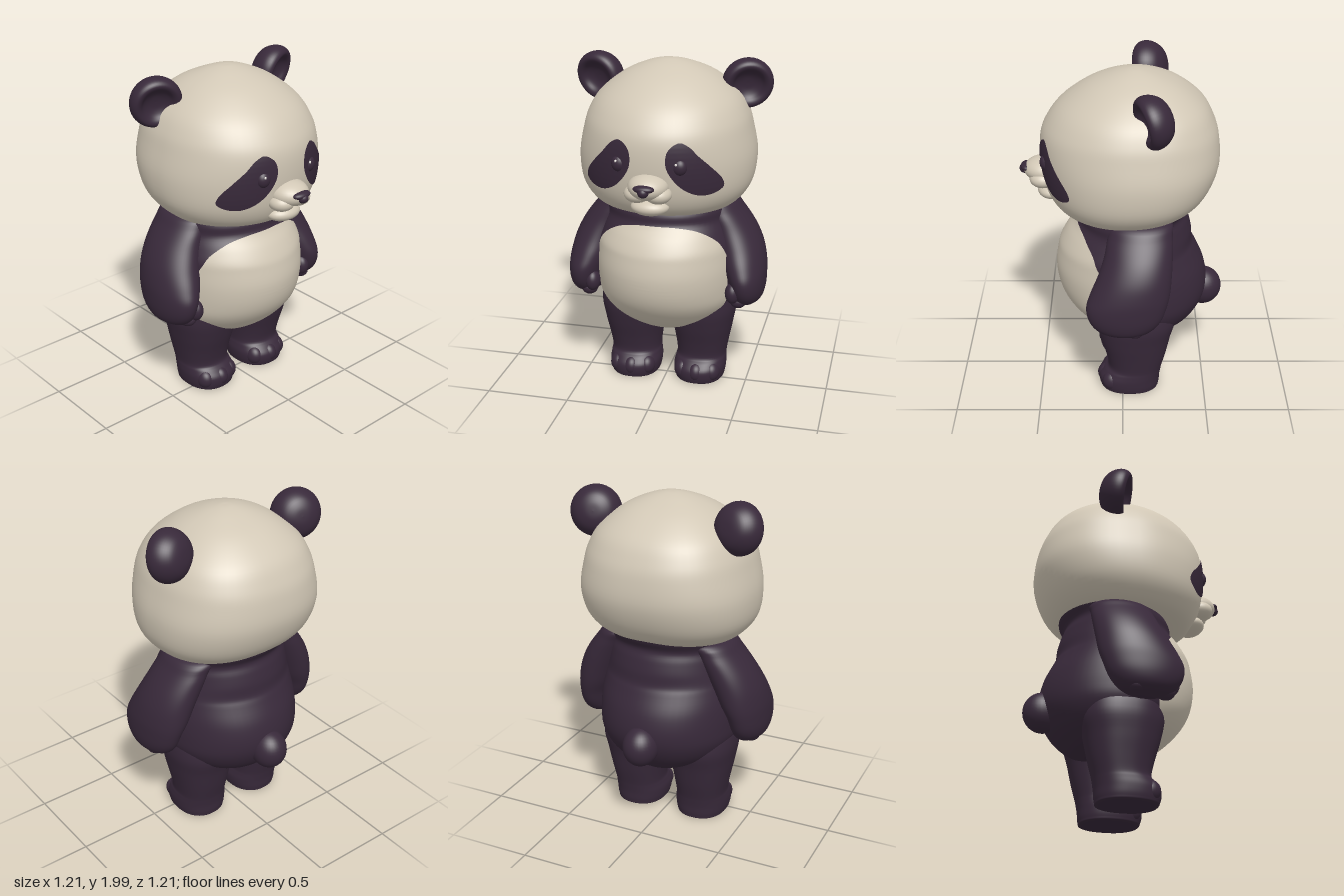
import * as THREE from 'three';
import { mergeVertices } from 'three/addons/utils/BufferGeometryUtils.js';

const cream = new THREE.MeshStandardMaterial({ name: 'cream fur', color: 0xd2c8b6 });
const dark = new THREE.MeshStandardMaterial({ name: 'dark fur', color: 0x38293a });
const white = new THREE.MeshStandardMaterial({ name: 'eye highlight', color: 0xf4f0ea });

// Rows are [y, centre x, half width, front z, back z], from bottom to top.
const headRows = [
  [1.155, 0, 0, 0, 0], [1.152, 0, 0.2, 0.2, -0.16], [1.158, 0, 0.35, 0.31, -0.3], [1.2, 0, 0.435, 0.395, -0.41],
  [1.3, 0, 0.502, 0.45, -0.5], [1.45, 0, 0.519, 0.475, -0.555], [1.6, 0, 0.492, 0.473, -0.55],
  [1.7, 0, 0.462, 0.435, -0.52], [1.8, 0, 0.4, 0.355, -0.46], [1.9, 0, 0.275, 0.215, -0.335],
  [1.96, 0, 0.145, 0.075, -0.2], [1.985, 0, 0.05, -0.02, -0.11], [1.988, 0, 0, -0.06, -0.06],
];
const torsoRows = [
  [0.33, 0, 0, -0.14, -0.14], [0.335, 0, 0.1, 0.03, -0.26], [0.37, 0, 0.22, 0.13, -0.34], [0.45, 0, 0.345, 0.24, -0.43],
  [0.55, 0, 0.41, 0.33, -0.49], [0.65, 0, 0.424, 0.378, -0.51], [0.77, 0, 0.425, 0.395, -0.49],
  [0.88, 0, 0.415, 0.38, -0.44], [0.93, 0, 0.41, 0.365, -0.415], [1, 0, 0.39, 0.325, -0.408],
  [1.07, 0, 0.375, 0.27, -0.39], [1.13, 0, 0.375, 0.26, -0.37], [1.19, 0, 0.378, 0.22, -0.4],
  [1.215, 0, 0.36, 0.17, -0.38], [1.22, 0, 0, -0.1, -0.1],
];
const armRows = [
  [0.535, 0.48, 0, 0, 0], [0.545, 0.485, 0.05, 0.08, -0.1], [0.58, 0.492, 0.09, 0.15, -0.17], [0.64, 0.495, 0.107, 0.195, -0.22],
  [0.72, 0.487, 0.119, 0.21, -0.25], [0.8, 0.465, 0.135, 0.185, -0.27], [0.9, 0.432, 0.143, 0.14, -0.28],
  [1, 0.385, 0.14, 0.105, -0.285], [1.1, 0.325, 0.125, 0.085, -0.285], [1.17, 0.27, 0.115, 0.06, -0.27], [1.2, 0.24, 0, -0.1, -0.1],
];
const legRows = [
  [0.002, 0.205, 0, -0.04, -0.04], [0, 0.205, 0.13, 0.11, -0.2], [0.02, 0.205, 0.152, 0.138, -0.222], [0.08, 0.205, 0.16, 0.145, -0.228],
  [0.125, 0.208, 0.155, 0.115, -0.235], [0.16, 0.21, 0.152, 0.088, -0.242], [0.25, 0.213, 0.165, 0.105, -0.265],
  [0.37, 0.214, 0.187, 0.14, -0.29], [0.5, 0.21, 0.208, 0.165, -0.32], [0.62, 0.2, 0.18, 0.14, -0.28], [0.68, 0.2, 0, -0.08, -0.08],
];

// Catmull-Rom refinement of the rows
function refine(rows, steps = 5) {
  const out = [], at = (i) => rows[Math.min(Math.max(i, 0), rows.length - 1)];
  for (let i = 0; i < rows.length - 1; i++) {
    for (let k = 0; k < steps; k++) {
      const t = k / steps;
      out.push(rows[i].map((p1, c) => {
        const p0 = at(i - 1)[c], p2 = at(i + 1)[c], p3 = at(i + 2)[c];
        const v = p1 + 0.5 * t * (p2 - p0 + t * (2 * p0 - 5 * p1 + 4 * p2 - p3 + t * (3 * (p1 - p2) + p3 - p0)));
        return c === 2 ? Math.max(v, 0) : v;
      }));
    }
  }
  out.push(rows[rows.length - 1]);
  return out;
}

function surface(positions, index) {
  let g = new THREE.BufferGeometry();
  g.setAttribute('position', new THREE.Float32BufferAttribute(positions, 3));
  g.setIndex(index);
  g = mergeVertices(g, 1e-4);
  g.computeVertexNormals();
  return g;
}

// Closed skin over rounded cross-sections, with separate front and back roundness
function loft(rows, side = 1, nFront = 2, nBack = 2, seg = 64) {
  const pos = [], idx = [], fine = refine(rows);
  const bend = (v, n) => Math.sign(v) * Math.abs(v) ** (2 / n);
  fine.forEach(([y, cx, rx, zf, zb], i) => {
    for (let j = 0; j < seg; j++) {
      const t = (j / seg) * Math.PI * 2, n = Math.sin(t) > 0 ? nFront : nBack;
      pos.push(side * cx + rx * bend(Math.cos(t), n), y, (zf + zb) / 2 + ((zf - zb) / 2) * bend(Math.sin(t), n));
      if (i === fine.length - 1) continue;
      const a = i * seg + j, b = i * seg + ((j + 1) % seg);
      idx.push(a, a + seg, b, b, a + seg, b + seg);
    }
  });
  return surface(pos, idx);
}

// Thin colour patch following the front of a lofted skin; outline is counterclockwise
function patch(rows, outline, [cx, cy], offset = 0.006, seg = 96, rings = 24) {
  const fine = refine(rows);
  const frontZ = (x, y) => {
    let i = 2;
    while (i < fine.length - 2 && fine[i + 1][0] < y) i++;
    const p = fine[i], q = fine[i + 1];
    const t = THREE.MathUtils.clamp((y - p[0]) / (q[0] - p[0]), 0, 1);
    const [, , rx, zf, zb] = p.map((v, c) => v + (q[c] - v) * t);
    const u = Math.min(Math.abs(x) / (rx + offset), 1);
    return (zf + zb) / 2 + ((zf - zb) / 2 + offset) * Math.sqrt(1 - u * u);
  };
  const curve = new THREE.CatmullRomCurve3(outline.map(([x, y]) => new THREE.Vector3(x, y, 0)), true);
  const edge = curve.getSpacedPoints(seg).slice(0, seg), pos = [], idx = [];
  for (let k = 0; k <= rings; k++) {
    edge.forEach((p, j) => {
      const x = cx + ((p.x - cx) * k) / rings, y = cy + ((p.y - cy) * k) / rings;
      pos.push(x, y, frontZ(x, y));
      if (k === rings) return;
      const a = k * seg + j, b = k * seg + ((j + 1) % seg);
      idx.push(a, a + seg, b + seg, a, b + seg, b);
    });
  }
  return surface(pos, idx);
}

export function createModel() {
  const model = new THREE.Group();
  model.name = 'panda';
  const add = (name, geometry, material) => {
    const m = new THREE.Mesh(geometry, material);
    m.name = name;
    model.add(m);
    return m;
  };
  const blob = (name, material, [x, y, z], [rx, ry, rz]) => {
    const m = add(name, new THREE.SphereGeometry(1, 32, 20), material);
    m.position.set(x, y, z);
    m.scale.set(rx, ry, rz);
    return m;
  };

  // Head, torso and tail
  add('head', loft(headRows, 1, 2, 2.35), cream);
  add('torso', loft(torsoRows), dark);
  blob('tail', dark, [0, 0.58, -0.49], [0.105, 0.12, 0.115]);

  // Belly patch
  const half = [[0.1, 0.355], [0.2, 0.415], [0.32, 0.49], [0.385, 0.57], [0.395, 0.7], [0.392, 0.86], [0.35, 0.96], [0.25, 1.035], [0.13, 1.066]];
  const belly = [[0, 0.342], ...half, [0, 1.072], ...half.map(([x, y]) => [-x, y]).reverse()];
  add('belly', patch(torsoRows, belly, [0, 0.72]), cream);

  // Muzzle, chin and nose
  blob('muzzle', cream, [0, 1.375, 0.45], [0.115, 0.075, 0.128]);
  blob('chin', cream, [0, 1.245, 0.415], [0.11, 0.05, 0.085]);
  blob('noseTip', dark, [0, 1.375, 0.568], [0.032, 0.03, 0.035]);
  blob('noseTop', dark, [0, 1.391, 0.56], [0.06, 0.022, 0.035]);

  const eyeOutline = [[0.17, 1.628], [0.22, 1.605], [0.27, 1.55], [0.33, 1.485], [0.385, 1.41], [0.394, 1.36], [0.36, 1.33],
    [0.29, 1.318], [0.21, 1.35], [0.14, 1.42], [0.102, 1.5], [0.112, 1.585]];
  const earProfile = [[0, -0.1], [0.05, -0.096], [0.1, -0.075], [0.135, -0.035], [0.15, 0.01], [0.145, 0.048], [0.125, 0.068],
    [0.1, 0.062], [0.075, 0.038], [0.04, 0.022], [0, 0.018]].map(([r, y]) => new THREE.Vector2(r, y));
  const earCurve = new THREE.SplineCurve(earProfile).getPoints(40);
  earCurve.forEach((p) => { p.x = Math.max(p.x, 0); });

  for (const s of [1, -1]) {
    const side = s > 0 ? 'left' : 'right';
    add(side + 'Arm', loft(armRows, s), dark);
    add(side + 'Leg', loft(legRows, s, 2.3, 2.3), dark);

    // Hand: thumb and finger bumps
    blob(side + 'Thumb', dark, [s * 0.43, 0.645, 0.145], [0.045, 0.065, 0.055]);
    for (let i = 0; i < 3; i++) blob(side + 'Finger', dark, [s * (0.46 + i * 0.03), 0.585, 0.11 - i * 0.09], [0.05, 0.045, 0.055]);

    // Toes
    for (let i = -1; i <= 1; i++) blob(side + 'Toe', dark, [s * (0.205 + i * 0.09), 0.07, 0.092 - 0.03 * Math.abs(i)], [0.052, 0.062, 0.062]);

    // Cupped ear, turned outward and leaning forward
    const ear = new THREE.LatheGeometry(earCurve, 48);
    ear.rotateX(Math.PI / 2 + 0.22).rotateY(s * 0.34).translate(s * 0.437, 1.848, -0.165);
    add(side + 'Ear', ear, dark);

    // Eye patch, eye and highlight
    const outline = eyeOutline.map(([x, y]) => [s * x, y]);
    if (s > 0) outline.reverse();
    add(side + 'EyePatch', patch(headRows, outline, [s * 0.23, 1.47]), dark);
    blob(side + 'Eye', dark, [s * 0.17, 1.49, 0.43], [0.045, 0.05, 0.04]);
    blob(side + 'EyeHighlight', white, [s * 0.17 - 0.012, 1.51, 0.464], [0.007, 0.008, 0.005]);

    // Cheeks of the muzzle
    blob(side + 'MuzzleCheek', cream, [s * 0.06, 1.335, 0.463], [0.075, 0.052, 0.078]);
  }
  return model;
}
